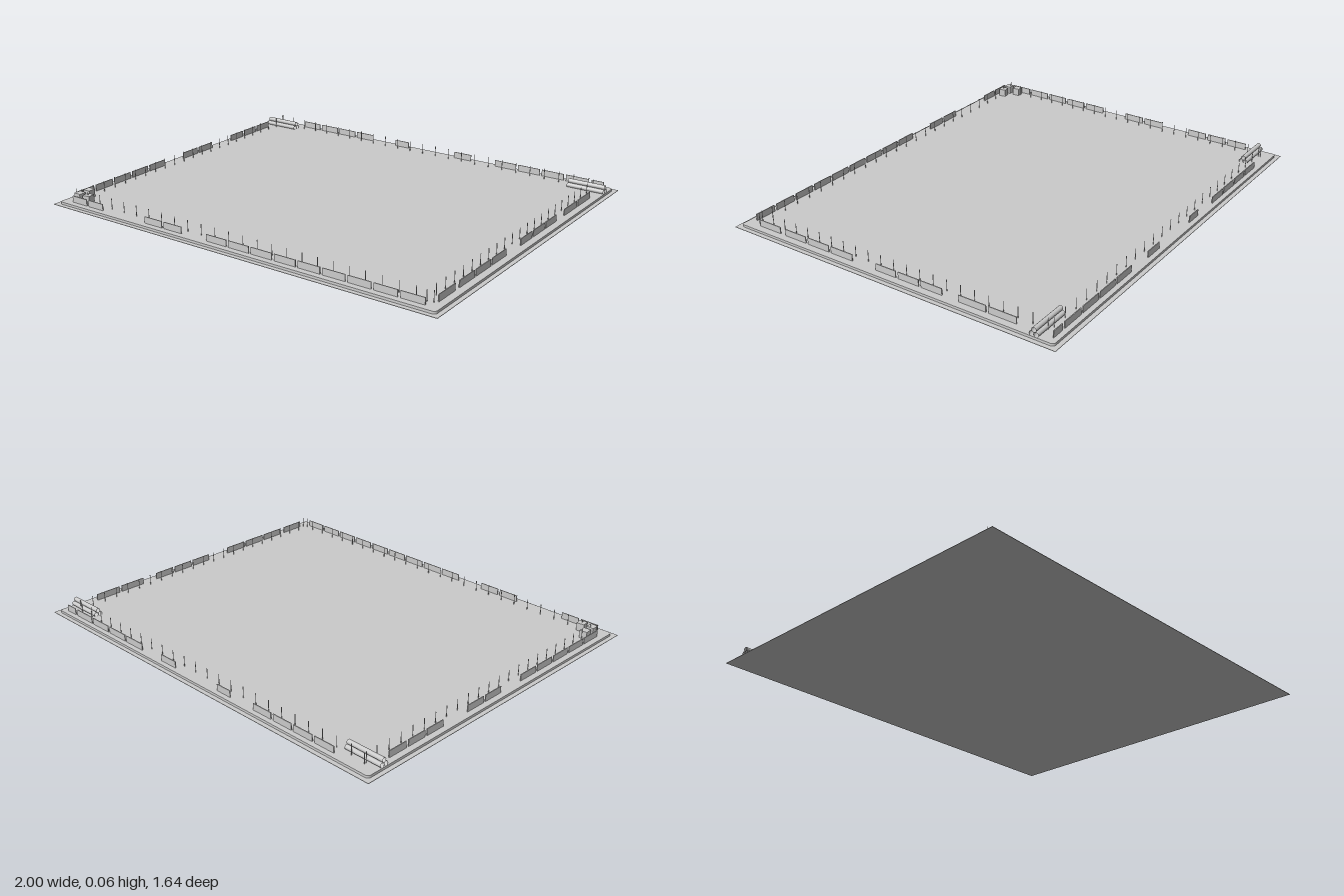
import * as THREE from 'three';

const grey = new THREE.MeshStandardMaterial({ color: 0xcccccc, flatShading: true });
const greyOpen = new THREE.MeshStandardMaterial({ color: 0xcccccc, side: THREE.DoubleSide });
const SLAB_TOP = 0.013;

function add(parent, name, geometry, x, y, z, material = grey) {
  const mesh = new THREE.Mesh(geometry, material);
  mesh.name = name;
  mesh.position.set(x, y, z);
  parent.add(mesh);
  return mesh;
}

// Flat rectangle with rounded corners, extruded upward
function roundedSlab(w, d, r, h) {
  const x = w / 2, y = d / 2;
  const s = new THREE.Shape();
  s.moveTo(-x + r, -y);
  s.lineTo(x - r, -y).absarc(x - r, -y + r, r, -Math.PI / 2, 0);
  s.absarc(x - r, y - r, r, 0, Math.PI / 2);
  s.absarc(-x + r, y - r, r, Math.PI / 2, Math.PI);
  s.absarc(-x + r, -y + r, r, Math.PI, Math.PI * 1.5);
  const g = new THREE.ExtrudeGeometry(s, { depth: h, bevelEnabled: false, curveSegments: 4 });
  return g.rotateX(-Math.PI / 2);
}

// One side of the fence: panel runs and a row of thin posts just inside it.
// alongX: the side runs in x; line: its fixed coordinate; inward: post offset.
function fenceSide(name, alongX, line, inward, runs, postStart, postEnd, postStep) {
  const side = new THREE.Group();
  side.name = name;
  const gap = 0.012, panelH = 0.03, postH = 0.05;
  for (const [a, b] of runs) {
    const n = Math.max(1, Math.round((b - a) / 0.12));
    const len = (b - a - gap * (n - 1)) / n;
    for (let i = 0; i < n; i++) {
      const c = a + len / 2 + i * (len + gap);
      const g = alongX ? new THREE.BoxGeometry(len, panelH, 0.004) : new THREE.BoxGeometry(0.004, panelH, len);
      add(side, 'fencePanel', g, alongX ? c : line, SLAB_TOP + panelH / 2, alongX ? line : c);
    }
  }
  const post = new THREE.CylinderGeometry(0.0015, 0.0015, postH, 6);
  for (let p = postStart; p <= postEnd; p += postStep) {
    add(side, 'fencePost', post, alongX ? p : line + inward, SLAB_TOP + postH / 2, alongX ? line + inward : p);
  }
  return side;
}

// Three open pipes stacked in a triangle
function pipeStack(x, z) {
  const stack = new THREE.Group();
  stack.name = 'pipeStack';
  const r = 0.0105;
  const pipe = new THREE.CylinderGeometry(r, r, 0.18, 12, 1, true).rotateZ(Math.PI / 2);
  for (const [dz, dy] of [[-r, r], [r, r], [0, r * (1 + Math.sqrt(3))]]) {
    add(stack, 'pipe', pipe, x, SLAB_TOP + dy, z + dz, greyOpen);
  }
  return stack;
}

export function createModel() {
  const model = new THREE.Group();
  model.name = 'fencedYard';

  // Ground and raised slab
  add(model, 'ground', new THREE.BoxGeometry(2, 0.002, 1.64), 0, 0.001, 0);
  add(model, 'slab', roundedSlab(1.96, 1.6, 0.015, SLAB_TOP - 0.002), 0, 0.002, 0);

  // Broken fence on all four sides
  model.add(
    fenceSide('frontFence', true, 0.77, -0.035,
      [[-0.925, -0.735], [-0.48, -0.27], [-0.13, 0.92]], -0.94, 0.94, 0.075),
    fenceSide('backFence', true, -0.775, 0.035,
      [[-0.785, -0.34], [-0.2, -0.12], [0.15, 0.245], [0.38, 0.87], [0.885, 0.945]], -0.915, 0.94, 0.075),
    fenceSide('rightFence', false, -0.95, 0.035,
      [[-0.655, -0.345], [-0.195, 0.02], [0.155, 0.725]], -0.75, 0.76, 0.067),
    fenceSide('leftFence', false, 0.945, -0.035,
      [[-0.615, -0.345], [-0.265, 0.07], [0.195, 0.57], [0.6, 0.72]], -0.73, 0.76, 0.067)
  );

  // Pipe stacks in the back corners
  for (const s of [-1, 1]) model.add(pipeStack(s * 0.888, -0.712));

  // Crates in the front corner
  const crate = new THREE.BoxGeometry(0.036, 0.036, 0.036);
  for (const [x, z, turn] of [[-0.917, 0.68, 0.05], [-0.917, 0.734, -0.05], [-0.864, 0.734, 0.15]]) {
    add(model, 'crate', crate, x, SLAB_TOP + 0.018, z).rotation.y = turn;
  }
  return model;
}
